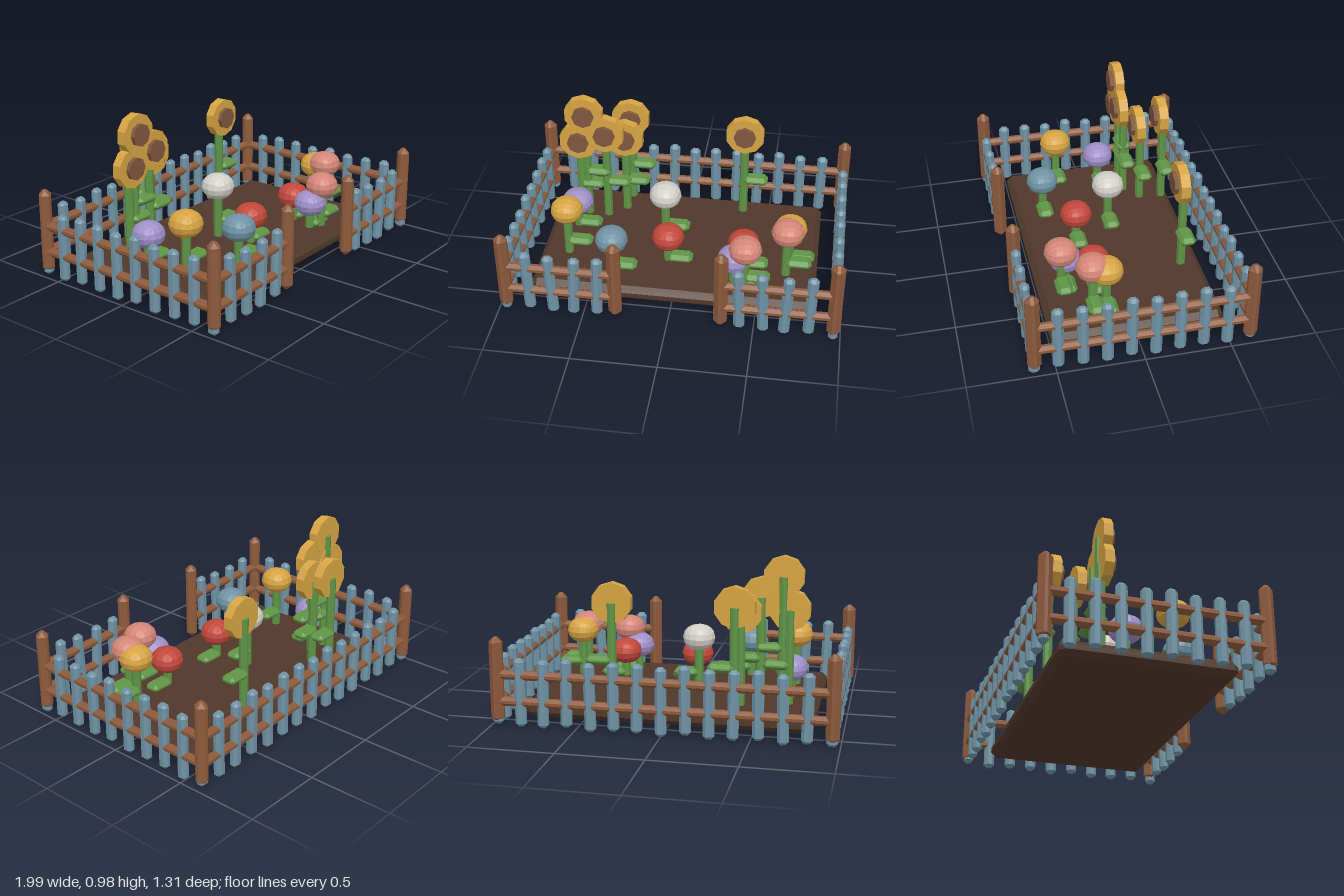
import * as THREE from 'three';
import { ConvexGeometry } from 'three/addons/geometries/ConvexGeometry.js';

const flat = (name, color) => {
  const m = new THREE.MeshStandardMaterial({ color, flatShading: true });
  m.name = name;
  return m;
};
const mats = {
  wood: flat('wood', 0x8c5a3c),
  soil: flat('soil', 0x50382a),
  seed: flat('seedBrown', 0x80573f),
  gold: flat('gold', 0xd6a443),
  picket: flat('picketBlue', 0x6f92a4),
  green: flat('leafGreen', 0x5f9446),
  purple: flat('purple', 0x9f8fc8),
  white: flat('white', 0xd2cfc8),
  pink: flat('pink', 0xd48678),
  red: flat('red', 0xc2473a),
};

function add(parent, name, geometry, material, x = 0, y = 0, z = 0) {
  const mesh = new THREE.Mesh(geometry, material);
  mesh.name = name;
  mesh.position.set(x, y, z);
  parent.add(mesh);
  return mesh;
}

// Box with every edge and corner cut off by c
function chamferBox(w, h, d, c) {
  const points = [];
  for (const sx of [-1, 1]) for (const sy of [-1, 1]) for (const sz of [-1, 1]) {
    for (let axis = 0; axis < 3; axis++) {
      const inset = [c, c, c];
      inset[axis] = 0;
      points.push(new THREE.Vector3(
        sx * (w / 2 - inset[0]), sy * (h / 2 - inset[1]), sz * (d / 2 - inset[2])));
    }
  }
  return new ConvexGeometry(points);
}

// Cube subdivided and pushed out to a squashed ball
function blossomGeometry() {
  const g = new THREE.BoxGeometry(2, 2, 2, 4, 4, 4);
  const p = g.attributes.position, v = new THREE.Vector3();
  for (let i = 0; i < p.count; i++) {
    v.fromBufferAttribute(p, i).normalize();
    p.setXYZ(i, v.x * 0.098, v.y * 0.08, v.z * 0.098);
  }
  g.computeVertexNormals();
  return g;
}

const SOIL_TOP = 0.11;

// Stem with one blocky leaf on its left
function addStem(group, x, top, z, leafY, leaf) {
  const h = top - SOIL_TOP + 0.03;
  add(group, 'stem', new THREE.CylinderGeometry(0.027, 0.027, h, 8), mats.green, x, top - h / 2, z);
  add(group, 'leaf', leaf, mats.green, x + 0.075, leafY, z);
}

export function createModel() {
  const model = new THREE.Group();
  model.name = 'flowerGarden';

  add(model, 'soilBed', chamferBox(1.68, 0.095, 1.0, 0.032), mats.soil, 0, 0.07, 0);

  // Fence
  const fence = new THREE.Group();
  fence.name = 'fence';
  model.add(fence);
  const X = 0.957, Z = 0.617, GATE = 0.307;
  const post = chamferBox(0.078, 0.505, 0.078, 0.03);
  for (const s of [-1, 1]) {
    for (const [x, z] of [[X, Z], [X, -Z], [GATE, Z]]) add(fence, 'post', post, mats.wood, s * x, 0.277, z);
  }

  const rail = (len) => chamferBox(len, 0.053, 0.053, 0.018);
  const longRail = rail(2 * X), sideRail = rail(2 * Z), shortRail = rail(X - GATE);
  for (const y of [0.152, 0.31]) {
    add(fence, 'backRail', longRail, mats.wood, 0, y, -Z);
    for (const s of [-1, 1]) {
      add(fence, 'sideRail', sideRail, mats.wood, s * X, y, 0).rotation.y = Math.PI / 2;
      add(fence, 'frontRail', shortRail, mats.wood, s * (X + GATE) / 2, y, Z);
    }
  }

  // Pickets, with slightly uneven heights and lean
  const picket = chamferBox(0.064, 0.4, 0.055, 0.018);
  let n = 0;
  const addPicket = (x, z, turn, lean) => {
    const k = n++;
    const m = add(fence, 'picket', picket, mats.picket, x, 0.21 + 0.009 * Math.sin(k * 2.4), z);
    m.rotation.y = turn;
    m.rotation.z = lean * Math.sin(k * 1.7 + 0.6);
  };
  for (let i = -7; i <= 7; i++) addPicket(i * X / 7, -Z, 0, 0.02);
  for (const s of [-1, 1]) {
    for (let i = 0; i < 8; i++) addPicket(s * X, (i - 3.5) * 0.138, Math.PI / 2, 0.006);
    addPicket(s * X, Z, Math.PI / 2, 0.02);
    for (let i = 3; i <= 6; i++) addPicket(s * i * X / 7, Z, 0, 0.06);
  }

  const leaf = chamferBox(0.15, 0.052, 0.095, 0.021);

  // Sunflowers: x, y, z of each disc
  const petals = new THREE.CylinderGeometry(0.12, 0.12, 0.055, 10).rotateX(Math.PI / 2);
  const seeds = new THREE.CylinderGeometry(0.067, 0.067, 0.05, 8).rotateX(Math.PI / 2);
  for (const [x, y, z] of [
    [-0.63, 0.86, -0.207], [-0.67, 0.67, -0.212], [-0.505, 0.735, -0.204],
    [-0.385, 0.72, -0.43], [-0.4, 0.66, -0.29], [0.34, 0.7, -0.362],
  ]) {
    const flower = new THREE.Group();
    flower.name = 'sunflower';
    model.add(flower);
    addStem(flower, x, y, z - 0.02, y * 0.518, leaf);
    add(flower, 'petalDisc', petals, mats.gold, x, y, z);
    add(flower, 'seedDisc', seeds, mats.seed, x, y, z + 0.027);
  }

  // Round flowers: colour, x, y, z of each blossom
  const blossom = blossomGeometry();
  for (const [color, x, y, z] of [
    ['purple', -0.67, 0.295, -0.09], ['gold', -0.67, 0.43, 0.19],
    ['blue', -0.375, 0.345, 0.33], ['white', -0.107, 0.437, -0.033],
    ['red', -0.06, 0.283, 0.178], ['red', 0.395, 0.275, 0.168],
    ['gold', 0.668, 0.4, 0.15], ['pink', 0.655, 0.425, 0.225],
    ['pink', 0.42, 0.378, 0.362], ['purple', 0.35, 0.275, 0.325],
  ]) {
    const flower = new THREE.Group();
    flower.name = 'roundFlower';
    model.add(flower);
    addStem(flower, x, y, z, y * 0.5, leaf);
    add(flower, 'blossom', blossom, mats[color] || mats.picket, x, y, z);
  }
  return model;
}
